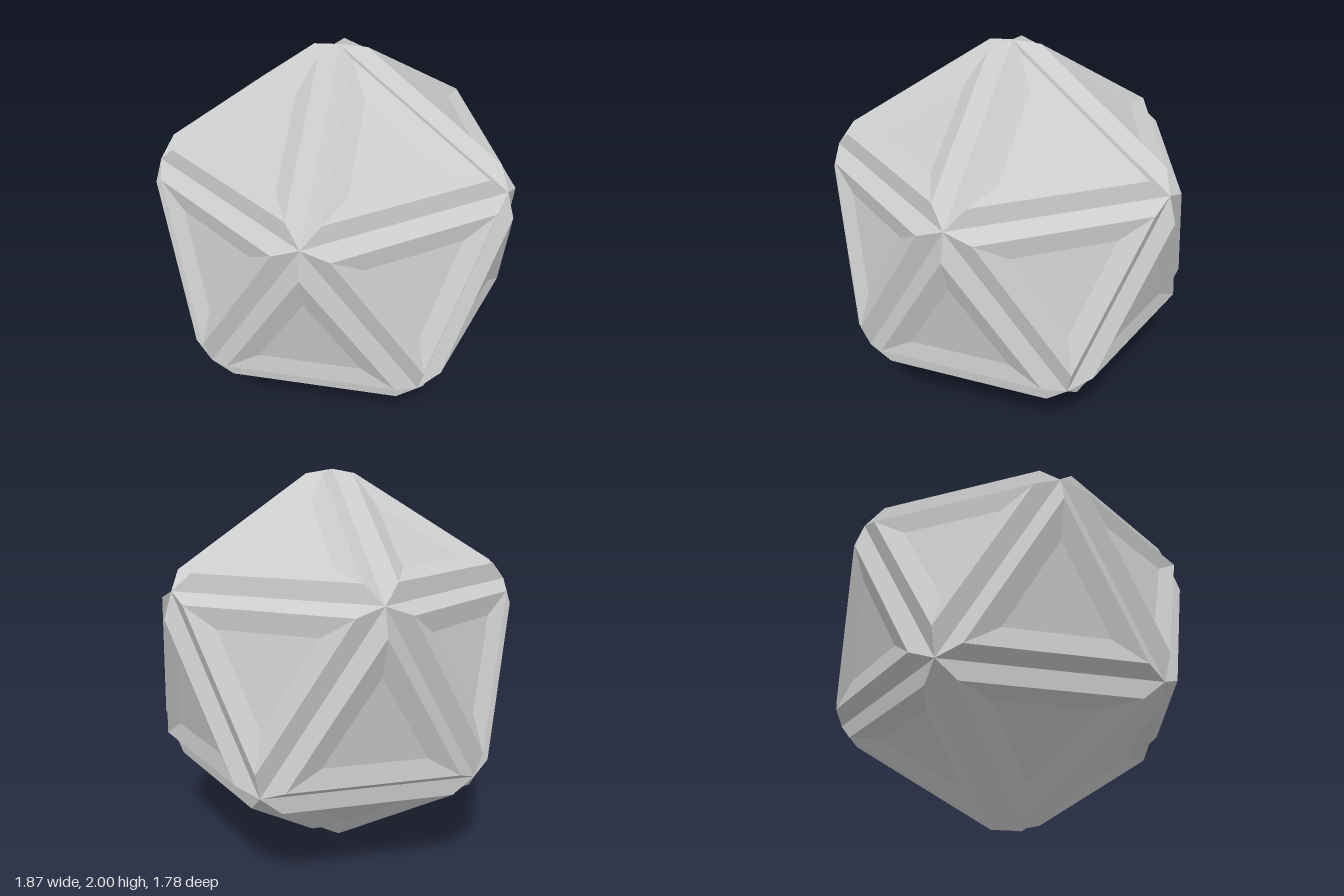
import * as THREE from 'three';

// Cross-sections of a panel: [scale about the face centre, height above the face]
const SECTIONS = [[1, 0], [0.8, 0.065], [0.48, 0.037]];

// One triangular panel: chamfer up to a rim, then a shallow slope down to a flat centre
function panelGeometry(corners) {
  const centre = new THREE.Vector3();
  corners.forEach((c) => centre.addScaledVector(c, 1 / 3));
  const normal = centre.clone().normalize();
  const rings = SECTIONS.map(([s, h]) => corners.map((c) =>
    centre.clone().lerp(c, s).addScaledVector(normal, h)));

  const points = [];
  for (let r = 0; r < rings.length - 1; r++) {
    for (let i = 0; i < 3; i++) {
      const j = (i + 1) % 3;
      const a = rings[r][i], b = rings[r][j], c = rings[r + 1][j], d = rings[r + 1][i];
      points.push(a, b, c, a, c, d);
    }
  }
  points.push(...rings[rings.length - 1]);
  const geometry = new THREE.BufferGeometry().setFromPoints(points);
  geometry.computeVertexNormals();
  return geometry;
}

export function createModel() {
  const model = new THREE.Group();
  model.name = 'facetedIcosahedron';
  const material = new THREE.MeshStandardMaterial({ color: 0xcccccc, flatShading: true });

  // Icosahedron of radius 1: two poles and two staggered rings of five
  const ringPoint = (k, upper) => {
    const angle = (k * 2 + (upper ? 0 : 1)) * Math.PI / 5;
    const r = 2 / Math.sqrt(5), y = 1 / Math.sqrt(5);
    return new THREE.Vector3(r * Math.cos(angle), upper ? y : -y, r * Math.sin(angle));
  };
  const top = new THREE.Vector3(0, 1, 0);
  const bottom = new THREE.Vector3(0, -1, 0);

  const addPanel = (name, a, b, c) => {
    // Order the corners so the panel faces outwards
    const outward = b.clone().sub(a).cross(c.clone().sub(a)).dot(a) > 0;
    const mesh = new THREE.Mesh(panelGeometry(outward ? [a, b, c] : [a, c, b]), material);
    mesh.name = name;
    mesh.position.y = 1;
    model.add(mesh);
  };

  for (let k = 0; k < 5; k++) {
    const u0 = ringPoint(k, true), u1 = ringPoint(k + 1, true);
    const l0 = ringPoint(k, false), l1 = ringPoint(k + 1, false);
    addPanel(`topPanel${k + 1}`, top, u0, u1);
    addPanel(`upperSidePanel${k + 1}`, u0, u1, l0);
    addPanel(`lowerSidePanel${k + 1}`, l0, l1, u1);
    addPanel(`bottomPanel${k + 1}`, bottom, l0, l1);
  }
  return model;
}
